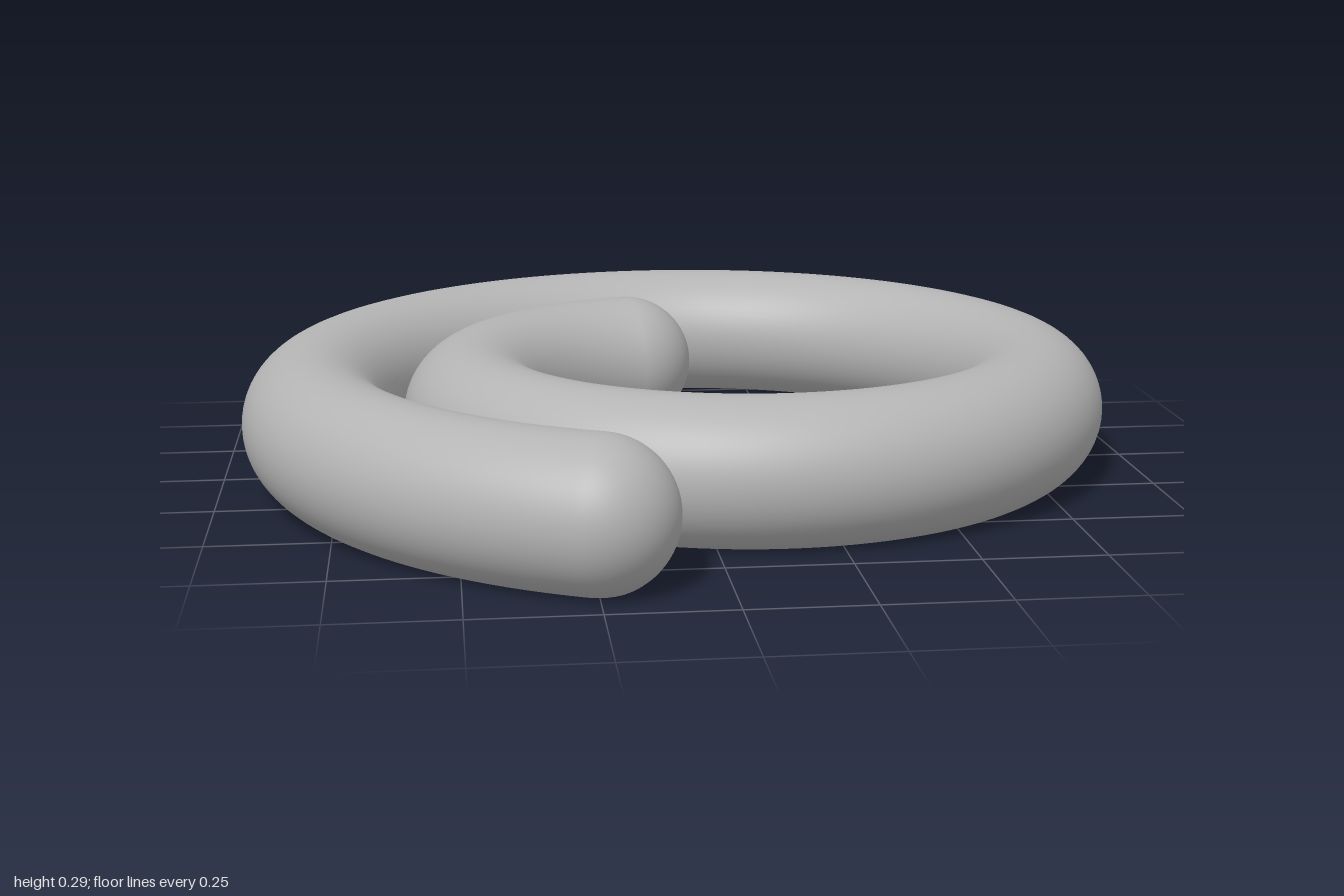
import * as THREE from 'three';

const TUBE = 0.154;                 // tube radius
const AXIS_Y = 0.139;               // height of the tube axis; the tube is cut flat at y = 0
const START = -1.21, END = 2 * Math.PI + 1.215;
const STEPS = 220, CAP = 20, SIDES = 48;

// Point of the flat spiral and its travel direction
function spiral(a) {
  const growth = 0.0552, r = 0.535 + growth * a;
  const c = Math.cos(a), s = Math.sin(a);
  return {
    point: new THREE.Vector3(0.0845 - r * c, AXIS_Y, -0.05 + r * s),
    tangent: new THREE.Vector3(-growth * c + r * s, 0, growth * s + r * c).normalize(),
  };
}

// Sections along the coil: round cap, body, round cap.
// Each has an angle on the spiral and a latitude on the end sphere.
function sections() {
  const list = [];
  const flatEnd = Math.acos(AXIS_Y / TUBE);   // latitude where the flat base stops
  const lats = [flatEnd];
  for (let i = 1; i <= CAP; i++) lats.push((i / CAP) * Math.PI / 2);
  lats.sort((p, q) => p - q);
  for (const t of [...lats].reverse()) list.push([START, -t]);
  for (let i = 0; i <= STEPS; i++) list.push([START + (END - START) * i / STEPS, 0]);
  for (const t of lats) list.push([END, t]);
  return list;
}

function buildGeometry(pos, nor, index) {
  const g = new THREE.BufferGeometry();
  g.setAttribute('position', new THREE.Float32BufferAttribute(pos, 3));
  g.setAttribute('normal', new THREE.Float32BufferAttribute(nor, 3));
  g.setIndex(index);
  return g;
}

export function createModel() {
  const grey = new THREE.MeshStandardMaterial({ color: 0xb4b4b4 });
  grey.name = 'grey';

  const wall = { pos: [], nor: [], index: [] };
  const base = { pos: [], nor: [], index: [] };
  const up = new THREE.Vector3(0, 1, 0);

  sections().forEach(([a, lat], i) => {
    const { point, tangent } = spiral(a);
    const side = up.clone().cross(tangent);
    const rho = TUBE * Math.cos(lat);
    const cut = Math.asin(Math.min(1, AXIS_Y / Math.max(rho, 1e-6)));
    for (let j = 0; j <= SIDES; j++) {
      const ang = -cut + (Math.PI + 2 * cut) * j / SIDES;
      const offset = tangent.clone().multiplyScalar(TUBE * Math.sin(lat))
        .addScaledVector(side, rho * Math.cos(ang))
        .addScaledVector(up, rho * Math.sin(ang));
      const p = point.clone().add(offset);
      wall.pos.push(p.x, p.y, p.z);
      wall.nor.push(offset.x / TUBE, offset.y / TUBE, offset.z / TUBE);
      // The two lower edges also bound the flat base
      if (j === 0 || j === SIDES) {
        base.pos.push(p.x, p.y, p.z);
        base.nor.push(0, -1, 0);
      }
      if (i > 0 && j > 0) {
        const d = i * (SIDES + 1) + j, c = d - 1, b = d - SIDES - 1, o = b - 1;
        wall.index.push(o, b, c, b, d, c);
      }
    }
    if (i > 0) {
      const o = (i - 1) * 2;
      base.index.push(o, o + 2, o + 1, o + 1, o + 2, o + 3);
    }
  });

  const group = new THREE.Group();
  group.name = 'spiralCoil';
  for (const [name, part] of [['coilTube', wall], ['flatBase', base]]) {
    const mesh = new THREE.Mesh(buildGeometry(part.pos, part.nor, part.index), grey);
    mesh.name = name;
    group.add(mesh);
  }
  return group;
}
